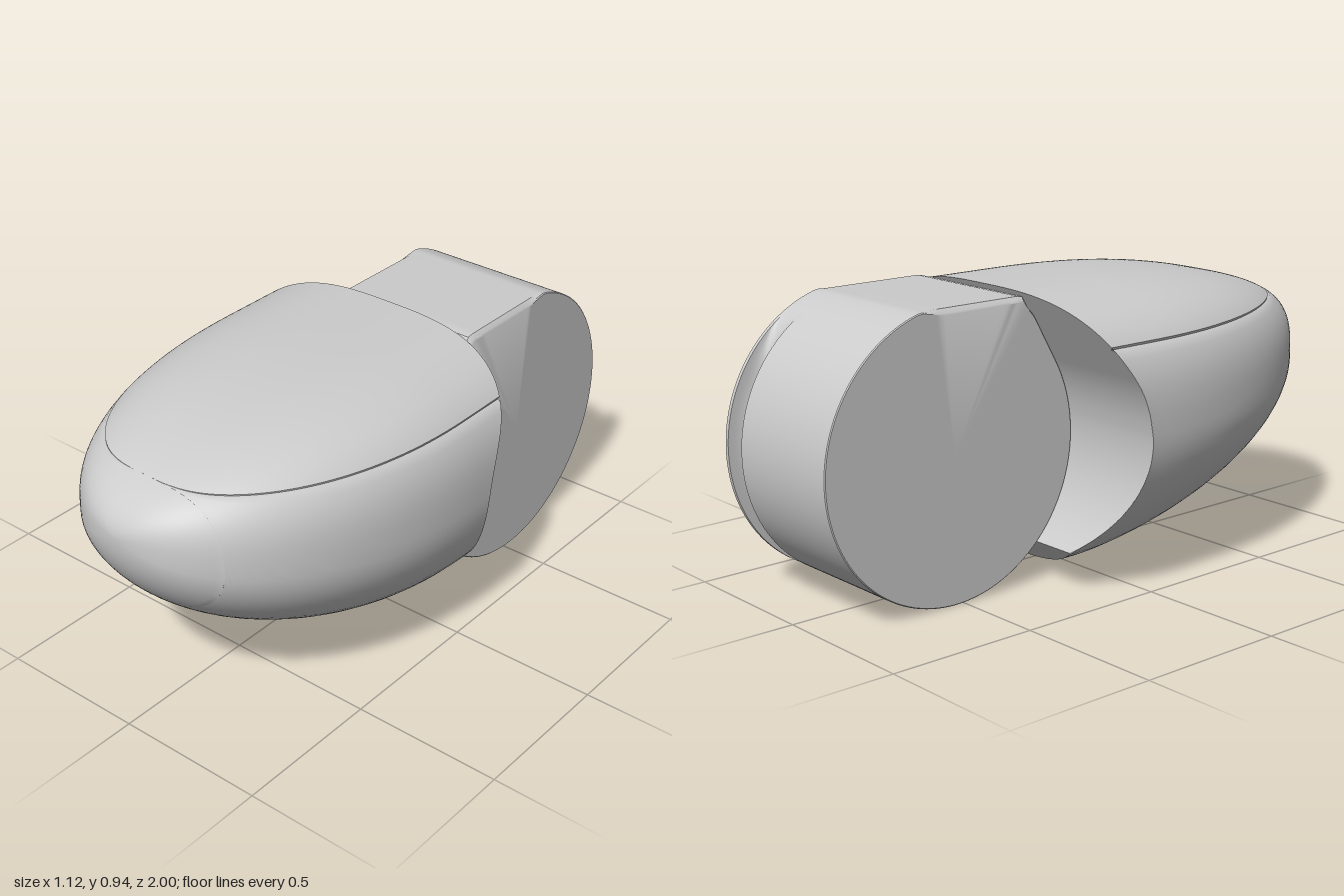
import * as THREE from 'three';
import { toCreasedNormals } from 'three/addons/utils/BufferGeometryUtils.js';

const material = new THREE.MeshStandardMaterial({ color: 0xcccccc, side: THREE.DoubleSide });
const { sin, cos, sqrt, abs, sign, min, max, PI } = Math;
const { lerp, smoothstep, radToDeg } = THREE.MathUtils;

// Surface from a grid of points; point(i, j) returns [x, y, z]
function gridMesh(name, nu, nv, point, crease) {
  const pos = [], index = [];
  for (let j = 0; j <= nv; j++) for (let i = 0; i <= nu; i++) pos.push(...point(i, j));
  for (let j = 0; j < nv; j++) for (let i = 0; i < nu; i++) {
    const a = j * (nu + 1) + i, d = a + nu + 1;
    index.push(a, a + 1, d + 1, a, d + 1, d);
  }
  const geo = new THREE.BufferGeometry();
  geo.setAttribute('position', new THREE.Float32BufferAttribute(pos, 3));
  geo.setIndex(index);
  const mesh = new THREE.Mesh(toCreasedNormals(geo, crease), material);
  mesh.name = name;
  return mesh;
}

// Drum axis in the side plane and the normal of the slanted flat in front of it
const CZ = -0.53, CY = 0.47, R = 0.47, GAP = 0.003, NZ = 0.866, NY = 0.5;
const SEAM_END = 0.86, POWER = 3;

// Rear cut of the body: slant on top, arc around the drum, bevel at the bottom
function rearZ(y) {
  const dy = y - CY, r = R + GAP;
  if (dy > NY * r) return CZ + (r - NY * dy) / NZ;
  if (dy < -0.34) return CZ + sqrt(r * r - 0.34 * 0.34) + (-0.34 - dy);
  return CZ + sqrt(r * r - dy * dy);
}

// Cross-section sizes of the body along z
function section(z) {
  const fall = (s, p) => sqrt(max(0, 1 - max(0, s) ** p));
  return {
    w: 0.56 * fall(z, 2.1),
    mid: 0.68 - 0.15 * fall(z, 1.85),
    top: 0.68 + 0.26 * fall(z, 2.5),
    bottom: 0.68 - 0.655 * fall((z + 0.1) / 1.1, 1.45),
  };
}

function bodyPoint(theta, z, shrink = 1) {
  const s = section(z), c = cos(theta), n = sin(theta);
  const e = n > 0 ? 2 / POWER : 1;
  const h = n > 0 ? s.top - s.mid : s.mid - s.bottom;
  return [
    shrink * s.w * sign(c) * abs(c) ** e,
    s.mid + shrink * h * sign(n) * abs(n) ** e,
    z,
  ];
}

// Angle of the lid seam at a station z
function seamAngle(z) {
  if (z >= SEAM_END - 1e-6) return PI / 2;
  const s = section(z), y = 0.8 + 0.0255 * (max(0, z) / SEAM_END) ** 2;
  return Math.asin(min(1, (y - s.mid) / (s.top - s.mid)) ** (POWER / 2));
}

// Point on lid or bowl, starting exactly on the rear cut
function shellPoint(angle, f, shrink) {
  let zr = -0.1;
  for (let k = 0; k < 12; k++) zr = rearZ(bodyPoint(angle(zr), zr)[1]);
  const z = lerp(zr, SEAM_END, f);
  return bodyPoint(angle(z), z, shrink);
}

// Even steps, with a narrow row at both ends for the tucked seam edge
const edgeStep = (i, n) => (i === 0 ? 0 : i === n ? 1 : lerp(0.008, 0.992, (i - 1) / (n - 2)));

function createBody() {
  const body = new THREE.Group();
  body.name = 'body';
  const N = 56, V = 48;
  // The seam edges dip inward, fading out where the lid closes at the front
  const tuck = (i, j) => (i === 0 || i === N ? 1 - 0.012 * min(1, (V - j) / 8) : 1);
  const lidAngle = (i) => (z) => lerp(seamAngle(z), PI - seamAngle(z), edgeStep(i, N));
  const bowlAngle = (i) => (z) => lerp(PI - seamAngle(z), 2 * PI + seamAngle(z), edgeStep(i, N));

  body.add(gridMesh('lid', N, V, (i, j) =>
    shellPoint(lidAngle(i), sin((j / V) * PI / 2), tuck(i, j)), 0.7));

  // Bowl with its closed nose
  const NOSE = 14;
  body.add(gridMesh('bowl', N, V + NOSE, (i, j) => {
    if (j <= V) return shellPoint(bowlAngle(i), sin((j / V) * PI / 2), tuck(i, j));
    const z = lerp(SEAM_END, 1, sin(((j - V) / NOSE) * PI / 2));
    return bodyPoint(bowlAngle(i)(z), z);
  }, 0.7));

  // Concave rear face that receives the drum
  const M = 100;
  body.add(gridMesh('rearSocket', M, 1, (i, j) => {
    const theta = PI / 2 - (i / M) * PI;
    const p = shellPoint(() => theta, 0, 1);
    return [j === 0 ? p[0] : -p[0], p[1], p[2]];
  }, 0.4));
  return body;
}

// Drum outline: a circle with a flat top that runs to a front corner
function drumRadius(a) {
  const deg = radToDeg(a), flat = 0.455 / max(0.01, sin(a));
  if (deg > 30 && deg < 90) return min(flat, R / (NZ * cos(a) + NY * sin(a)));
  return deg >= 90 && deg < 180 ? min(R, flat) : R;
}

function createDrum() {
  // Stations across the width: [x, radius inset, groove depth, bevel of the flat top]
  const stations = [[-0.192, 1, 0, 0], [-0.192, 0.003, 0, 1], [-0.189, 0, 0, 0.8], [-0.175, 0, 0, 0], [0.2, 0, 0, 0]];
  for (let k = 0; k <= 12; k++) {
    const f = (k / 12) * PI;
    stations.push([0.2825 - 0.0375 * cos(f), 0, 0.083 * sin(f), 0]);
  }
  stations.push([0.322, 0, 0, 0], [0.334, 0, 0, 0.8], [0.337, 0.003, 0, 1], [0.337, 1, 0, 0]);
  stations.reverse();

  // The groove runs from the lower front, around the back, to the upper rear
  const groove = (d) => smoothstep(d, 120, 156) * (1 - smoothstep(d, 308, 316));
  const bevel = (d) => 0.016 * smoothstep(d, 50, 58) * (1 - smoothstep(d, 92, 106));
  const N = 180;
  return gridMesh('drum', N, stations.length - 1, (i, j) => {
    const a = ((i % N) / N) * 2 * PI, d = radToDeg(a);
    const [x, inset, depth, edge] = stations[j];
    const r = max(0, drumRadius(a) - inset - depth * groove(d) - edge * bevel(d));
    return [x, CY + r * sin(a), CZ + r * cos(a)];
  }, 0.5);
}

export function createModel() {
  const model = new THREE.Group();
  model.name = 'model';
  model.add(createBody(), createDrum());
  return model;
}
